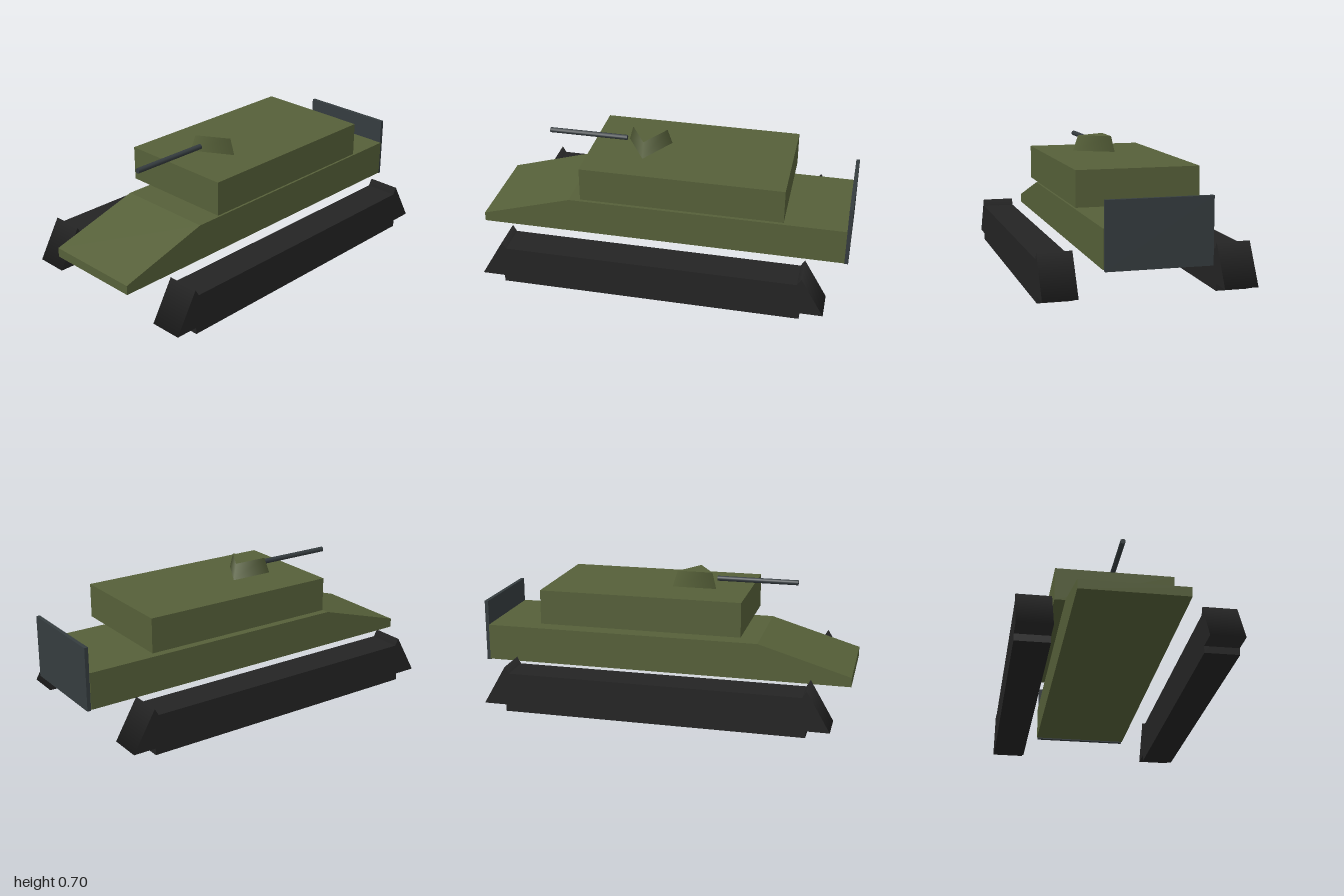
import * as THREE from 'three';

const olive = new THREE.MeshStandardMaterial({ name: 'olive', color: 0x566039 });
const steel = new THREE.MeshStandardMaterial({ name: 'dark steel', color: 0x353c3f });
const rubber = new THREE.MeshStandardMaterial({ name: 'track black', color: 0x242424 });

function add(parent, name, geometry, material, x = 0, y = 0, z = 0) {
  const mesh = new THREE.Mesh(geometry, material);
  mesh.name = name;
  mesh.position.set(x, y, z);
  parent.add(mesh);
  return mesh;
}

export function createModel() {
  const model = new THREE.Group();
  model.name = 'tank';

  // Hull: side profile in (z, y), extruded across the width
  const profile = new THREE.Shape([
    [-0.98, 0.19], [1, 0.19], [1, 0.24], [0.51, 0.385], [-0.98, 0.385],
  ].map(([z, y]) => new THREE.Vector2(z, y)));
  const hull = new THREE.ExtrudeGeometry(profile, { depth: 0.54, bevelEnabled: false });
  hull.rotateY(-Math.PI / 2);
  add(model, 'hull', hull, olive, 0.27);

  // Rear plate
  add(model, 'rearPlate', new THREE.BoxGeometry(0.53, 0.335, 0.02), steel, 0, 0.351, -0.99);

  // Raised upper body
  add(model, 'upperBody', new THREE.BoxGeometry(0.636, 0.184, 1.085), olive, 0, 0.52, -0.113);

  // Three-sided cupola, one corner pointing to the left side
  const cupola = new THREE.CylinderGeometry(0.11, 0.138, 0.085, 3);
  cupola.rotateY(Math.PI / 2);
  add(model, 'cupola', cupola, olive, 0, 0.6545, 0.13);

  // Gun barrel
  const barrel = new THREE.CylinderGeometry(0.014, 0.014, 0.435, 12);
  barrel.rotateX(Math.PI / 2);
  add(model, 'gunBarrel', barrel, steel, 0, 0.655, 0.462);

  // Tracks: a long block with a triangular prism at each end
  for (const side of [-1, 1]) {
    const track = new THREE.Group();
    track.name = side > 0 ? 'leftTrack' : 'rightTrack';
    track.position.x = side * 0.453;
    model.add(track);
    add(track, 'trackBlock', new THREE.BoxGeometry(0.175, 0.21, 1.585), rubber, 0, 0.105, 0.01);
    for (const z of [0.802, -0.782]) {
      const prism = new THREE.CylinderGeometry(0.14, 0.14, 0.175, 3);
      prism.rotateX(-Math.PI / 2).rotateY(Math.PI / 2);
      add(track, z > 0 ? 'frontTrackEnd' : 'rearTrackEnd', prism, rubber, 0, 0.106, z);
    }
  }

  return model;
}
